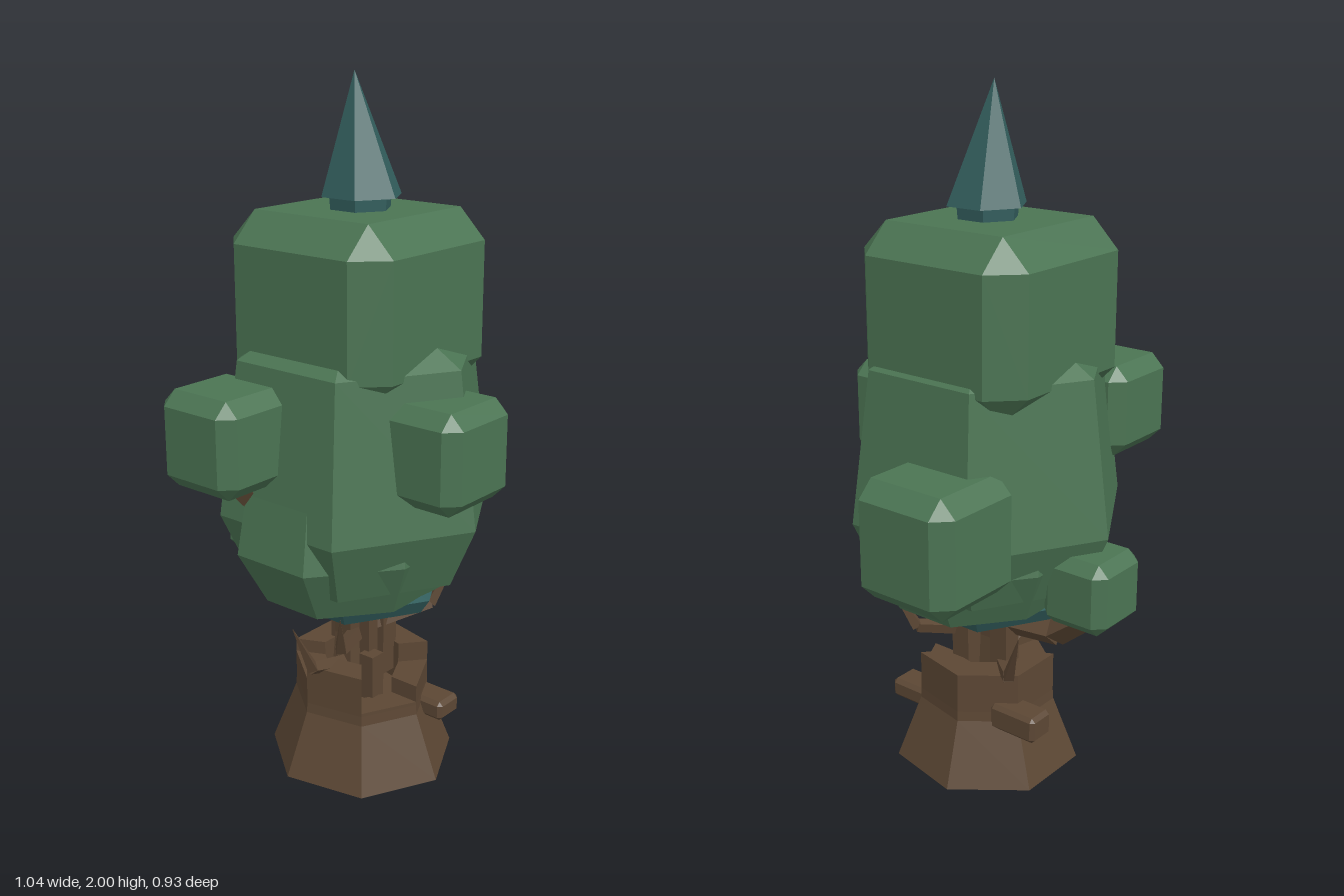
import * as THREE from 'three';
import { ConvexGeometry } from 'three/addons/geometries/ConvexGeometry.js';

const material = (name, color) => {
  const m = new THREE.MeshStandardMaterial({ color, flatShading: true });
  m.name = name;
  return m;
};

// Box given by its min and max corners, with all edges cut by c
function chamferBox(min, max, c) {
  const pts = [];
  const mid = min.map((v, i) => (v + max[i]) / 2);
  const half = min.map((v, i) => (max[i] - v) / 2);
  for (const sx of [-1, 1]) for (const sy of [-1, 1]) for (const sz of [-1, 1]) {
    const s = [sx, sy, sz];
    for (let axis = 0; axis < 3; axis++) {
      const p = s.map((sign, i) => mid[i] + sign * (half[i] - (i === axis ? 0 : c)));
      pts.push(new THREE.Vector3(...p));
    }
  }
  return new ConvexGeometry(pts);
}

// Faceted turned shape from [radius, y] pairs, bottom to top
const turned = (profile, sides, start = 0) =>
  new THREE.LatheGeometry(profile.map(([r, y]) => new THREE.Vector2(r, y)), sides, start);

export function createModel() {
  const model = new THREE.Group();
  model.name = 'tree';
  const leaf = material('leafGreen', 0x4b7453);
  const teal = material('deepTeal', 0x335f5e);
  const bark = material('barkBrown', 0x5c4734);

  const add = (name, geometry, mat) => {
    const mesh = new THREE.Mesh(geometry, mat);
    mesh.name = name;
    model.add(mesh);
    return mesh;
  };

  // Canopy: tapering six-sided body, lower skirt and square crown
  add('canopyBody', turned([[0, 0.6], [0.22, 0.61], [0.33, 0.63], [0.41, 0.81], [0.35, 1.25], [0, 1.46]], 6), leaf);
  const skirt = add('canopySkirt', turned(
    [[0, 0.5], [0.16, 0.5], [0.314, 0.56], [0.406, 0.72], [0.335, 1.1], [0, 1.15]], 8, Math.PI / 8), leaf);
  skirt.scale.z = 0.78;
  add('canopyCrown', chamferBox([-0.27, 1.15, -0.29], [0.29, 1.64, 0.27], 0.083), leaf);

  // Side clumps of leaves
  [
    ['leftClump', [0.2, 0.69, -0.27], [0.52, 1.03, 0.063], 0.048],
    ['rightClump', [-0.52, 0.93, -0.27], [-0.25, 1.2, 0], 0.04],
    ['frontClump', [-0.185, 0.9, 0.19], [0.093, 1.18, 0.465], 0.04],
    ['backClump', [-0.095, 0.56, -0.468], [0.113, 0.77, -0.26], 0.032],
  ].forEach(([name, min, max, c]) => add(name, chamferBox(min, max, c), leaf));

  // Spire on the crown and the dark ring below the canopy
  add('spireCollar', turned([[0.085, 1.62], [0.09, 1.68]], 6), teal).position.x = 0.008;
  const tip = turned([[0, 1.67], [0.115, 1.675], [0, 2]], 6);
  const pos = tip.attributes.position;
  for (let i = 0; i < pos.count; i++) {
    const top = pos.getY(i) > 1.9;
    pos.setX(i, pos.getX(i) + (top ? -0.008 : 0.008));
    pos.setZ(i, pos.getZ(i) + (top ? -0.008 : 0.004));
  }
  add('spire', tip, teal);
  add('canopyUnderRing', turned([[0, 0.53], [0.23, 0.515], [0.26, 0.56], [0, 0.6]], 6), teal);

  // Flared trunk base
  const base = add('trunkBase', turned([[0, 0], [0.272, 0], [0.2, 0.19], [0.198, 0.22], [0, 0.22]], 7), bark);
  base.position.set(-0.01, 0, 0.02);
  base.scale.z = 1.04;

  // Broken rim: one wall block for each trunk side, at its own height
  const heights = [0.28, 0.34, 0.34, 0.34, 0.3, 0.34, 0.23];
  const step = (Math.PI * 2) / 7;
  heights.forEach((h, i) => {
    const corner = (k, r) => [-0.01 + Math.sin(k * step) * r, 0.02 + Math.cos(k * step) * r * 1.04];
    const pts = [];
    for (const k of [i, i + 1]) for (const r of [0.198, 0.11]) for (const y of [0.2, h]) {
      const [x, z] = corner(k, r);
      pts.push(new THREE.Vector3(x, y, z));
    }
    add('trunkRim', new ConvexGeometry(pts), bark);
  });

  // Inner stem and its splinters
  add('innerStem', turned([[0.075, 0.2], [0.06, 0.4], [0.07, 0.56]], 6), bark).position.set(-0.02, 0, 0);
  [
    [-0.05, 0.25, 0.09, 0.05], [0.06, 0.36, 0.04, 0.06], [-0.03, 0.38, 0.06, 0.04], [0.02, 0.4, -0.07, 0.06],
  ].forEach(([x, y, z, w]) => {
    add('stemBlock', new THREE.BoxGeometry(w, 0.22, w), bark).position.set(x, y, z);
  });

  // Knots on the trunk
  add('frontKnot', chamferBox([0.05, 0.15, 0.1], [0.145, 0.21, 0.27], 0.012), bark);
  add('backKnot', chamferBox([0.04, 0.17, -0.26], [0.13, 0.25, -0.1], 0.012), bark);

  // Bent limbs made of tapering four-sided pieces
  const up = new THREE.Vector3(0, 1, 0);
  const limb = (name, points, radii) => {
    for (let i = 0; i < points.length - 1; i++) {
      const a = new THREE.Vector3(...points[i]);
      const b = new THREE.Vector3(...points[i + 1]);
      const d = b.clone().sub(a);
      const piece = add(name, new THREE.CylinderGeometry(radii[i + 1], radii[i], d.length(), 4), bark);
      piece.position.copy(a).add(b).multiplyScalar(0.5);
      piece.quaternion.setFromUnitVectors(up, d.normalize());
    }
  };
  const thin = [0.026, 0.02, 0.001];
  limb('twig', [[-0.04, 0.3, 0], [-0.23, 0.36, 0.02], [-0.32, 0.52, 0.03]], thin);
  limb('twig', [[-0.03, 0.4, 0.02], [-0.21, 0.44, 0.11], [-0.27, 0.57, 0.16]], thin);
  limb('twig', [[0, 0.41, 0.02], [0.18, 0.45, 0.13], [0.25, 0.62, 0.19]], thin);
  limb('twig', [[0, 0.32, -0.04], [0.14, 0.37, -0.18], [0.2, 0.54, -0.26]], thin);
  limb('backBranch', [[0, 0.46, 0], [0, 0.48, -0.24], [0, 0.6, -0.4]], [0.05, 0.045, 0.035]);
  limb('rightBranch', [[-0.2, 0.75, -0.1], [-0.44, 1, -0.13]], [0.04, 0.03]);
  limb('leftBranch', [[0.15, 0.6, -0.06], [0.4, 0.77, -0.1]], [0.04, 0.03]);

  return model;
}
